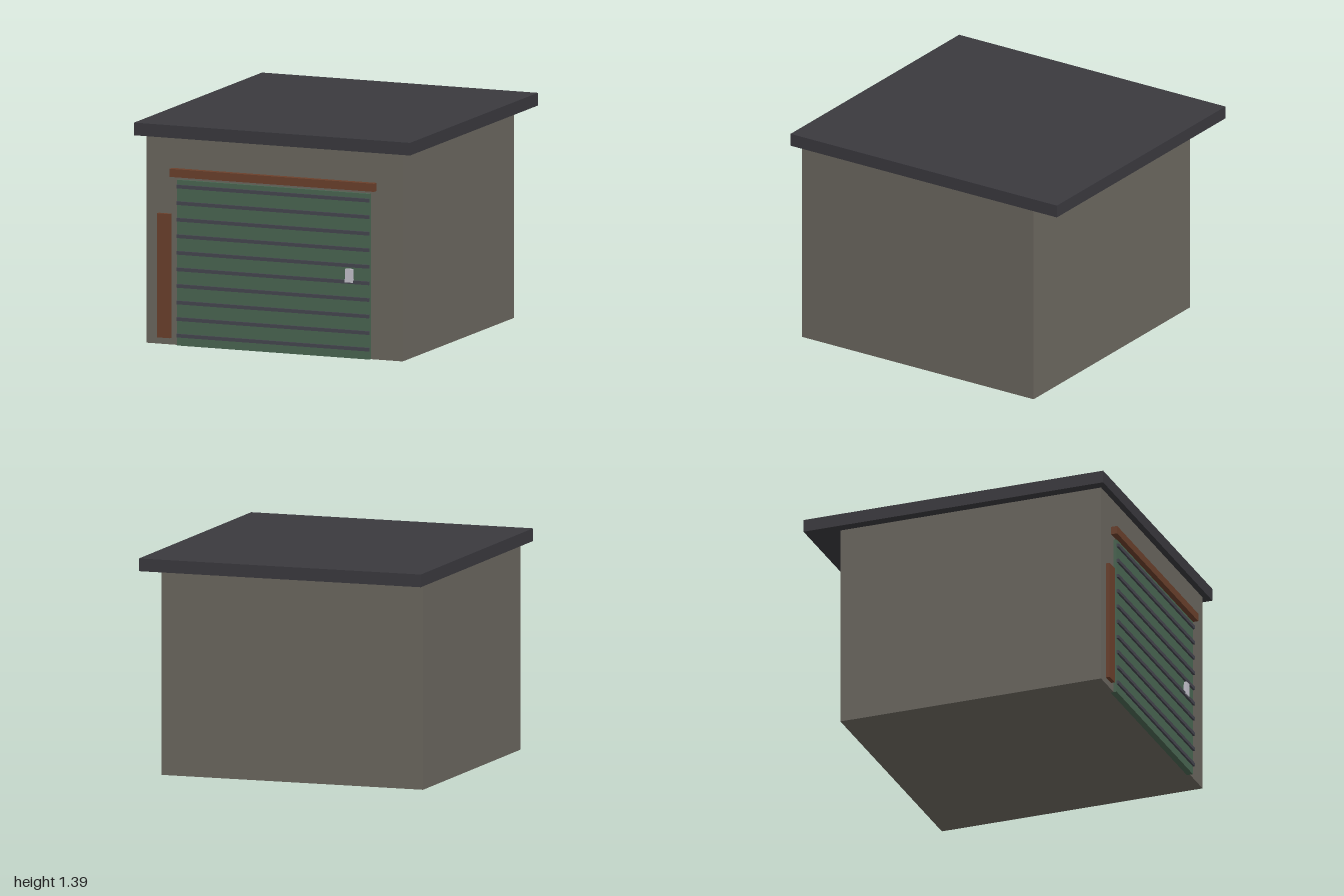
import * as THREE from 'three';

export function createModel() {
  const group = new THREE.Group();
  const material = (color) => new THREE.MeshStandardMaterial({ color, flatShading: true });
  const wall = material(0x6b675f);
  const slate = material(0x3a393e);
  const green = material(0x4a6652);
  const steel = material(0x45464f);
  const rust = material(0x6b402c);
  const metal = material(0xc4c2cc);

  // Box given by its extents on each axis
  function box(name, mat, [x0, x1], [y0, y1], [z0, z1]) {
    const mesh = new THREE.Mesh(new THREE.BoxGeometry(x1 - x0, y1 - y0, z1 - z0), mat);
    mesh.position.set((x0 + x1) / 2, (y0 + y1) / 2, (z0 + z1) / 2);
    mesh.name = name;
    group.add(mesh);
    return mesh;
  }

  // Building shell and overhanging flat roof
  box('walls', wall, [-0.868, 0.868], [0, 1.31], [-0.78, 0.96]);
  box('roof', slate, [-0.935, 0.935], [1.31, 1.39], [-1, 1]);

  // Roller door with horizontal ribs
  box('door', green, [-0.652, 0.652], [0, 1.045], [0.94, 0.98]);
  for (let i = 0; i < 10; i++) {
    const y = 0.064 + i * 0.1045;
    box('doorRib', steel, [-0.652, 0.652], [y - 0.011, y + 0.011], [0.975, 0.993]);
  }

  // Beam over the door and upright board beside it
  box('lintel', rust, [-0.695, 0.692], [1.064, 1.115], [0.95, 1]);
  box('sideBoard', rust, [-0.785, -0.698], [0.043, 0.826], [0.95, 0.985]);

  // Handle, slightly wider at the foot
  const handle = box('handle', metal, [0.492, 0.546], [0.48, 0.565], [0.97, 1]);
  const p = handle.geometry.attributes.position;
  for (let i = 0; i < p.count; i++) if (p.getY(i) > 0) p.setX(i, p.getX(i) * 0.87);
  handle.geometry.computeVertexNormals();

  return group;
}
